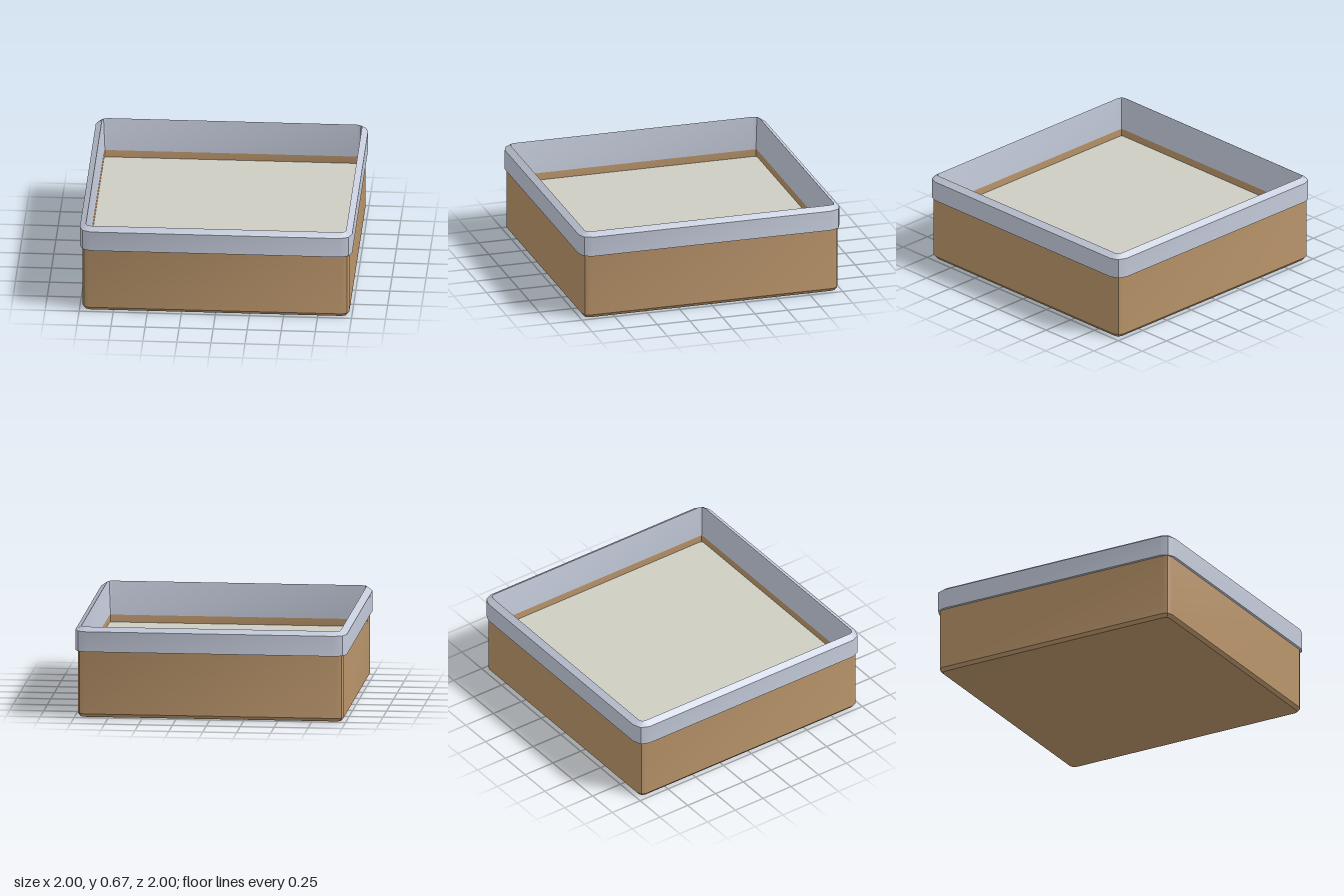
import * as THREE from 'three';
import { toCreasedNormals } from 'three/addons/utils/BufferGeometryUtils.js';

const SEGMENTS = 2; // facets per rounded corner

// One rounded-square loop: half width, height, corner radius
function ring([half, y, radius]) {
  const points = [];
  for (let corner = 0; corner < 4; corner++) {
    const mid = Math.PI / 4 + corner * Math.PI / 2;
    const cx = Math.sign(Math.cos(mid)) * (half - radius);
    const cz = Math.sign(Math.sin(mid)) * (half - radius);
    for (let s = 0; s <= SEGMENTS; s++) {
      const a = (corner + s / SEGMENTS) * Math.PI / 2;
      points.push([cx + radius * Math.cos(a), y, cz + radius * Math.sin(a)]);
    }
  }
  return points;
}

// Skin a profile of rounded-square loops; a half width of 0 closes an end
function loft(profile) {
  const rings = profile.map(ring);
  const positions = [];
  for (let i = 0; i < rings.length - 1; i++) {
    const low = rings[i], high = rings[i + 1], n = low.length;
    for (let j = 0; j < n; j++) {
      const k = (j + 1) % n;
      if (profile[i][0] > 0) positions.push(...low[j], ...high[j], ...low[k]);
      if (profile[i + 1][0] > 0) positions.push(...low[k], ...high[j], ...high[k]);
    }
  }
  const geometry = new THREE.BufferGeometry();
  geometry.setAttribute('position', new THREE.Float32BufferAttribute(positions, 3));
  return toCreasedNormals(geometry, 0.5);
}

function material(name, color) {
  const m = new THREE.MeshStandardMaterial({ color });
  m.name = name;
  return m;
}

export function createModel() {
  const group = new THREE.Group();
  group.name = 'litterTray';

  const add = (name, profile, mat) => {
    const mesh = new THREE.Mesh(loft(profile), mat);
    mesh.name = name;
    group.add(mesh);
  };

  // Tray: chamfered base, outer wall, inner wall and hidden floor
  add('tray', [
    [0, 0, 0], [0.96, 0, 0.035], [0.98, 0.025, 0.05], [0.98, 0.49, 0.05],
    [0.94, 0.42, 0.02], [0.94, 0.34, 0.02], [0, 0.34, 0],
  ], material('tan plastic', 0xb9946a));

  // Rim: overhanging collar with sloped top and slightly tapered inside
  add('rim', [
    [0.94, 0.42, 0.02], [0.98, 0.49, 0.05], [1, 0.49, 0.085], [1, 0.64, 0.085],
    [0.955, 0.67, 0.035], [0.94, 0.42, 0.02],
  ], material('pale grey plastic', 0xc4cada));

  // Filling: flat surface inside the tray
  add('filling', [[0.94, 0.365, 0.02], [0, 0.365, 0]], material('sand', 0xcdcdc2));

  return group;
}
